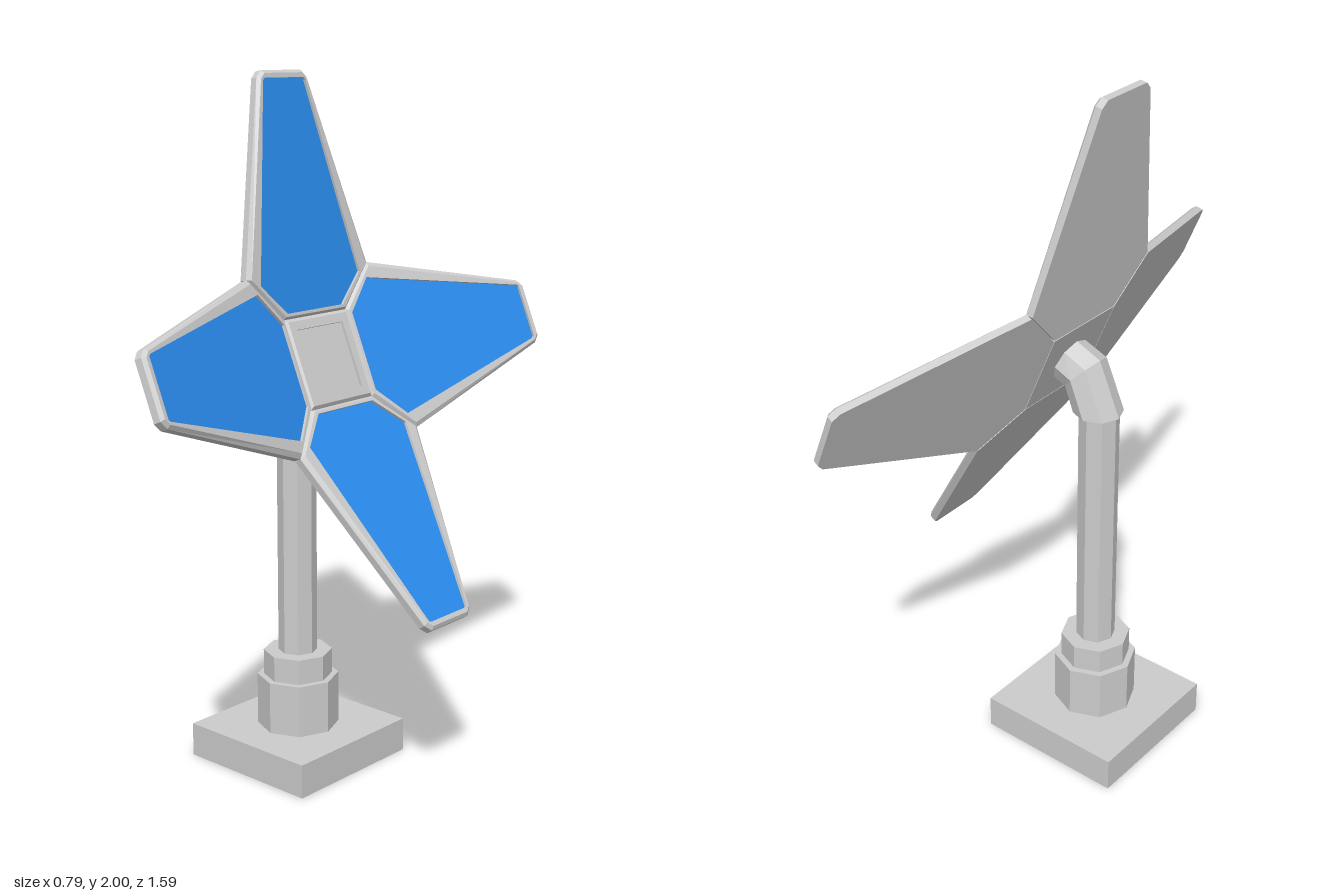
import * as THREE from 'three';

const grey = new THREE.MeshStandardMaterial({ color: 0xcccccc, flatShading: true });
const greyOpen = new THREE.MeshStandardMaterial({ color: 0xcccccc, flatShading: true, side: THREE.DoubleSide });
const blue = new THREE.MeshStandardMaterial({ color: 0x2a8cee, flatShading: true });

function mesh(name, geometry, material = grey) {
  const m = new THREE.Mesh(geometry, material);
  m.name = name;
  return m;
}

// Joins rings of equal point count (counter-clockwise about the direction of travel).
function loft(rings, capStart, capEnd) {
  const pos = [];
  const tri = (...pts) => pts.forEach((p) => pos.push(p.x, p.y, p.z));
  const n = rings[0].length;
  for (let k = 0; k + 1 < rings.length; k++) {
    for (let i = 0; i < n; i++) {
      const j = (i + 1) % n, a = rings[k], b = rings[k + 1];
      tri(a[i], a[j], b[j]);
      tri(a[i], b[j], b[i]);
    }
  }
  const last = rings[rings.length - 1];
  for (let i = 1; i + 1 < n; i++) {
    if (capStart) tri(rings[0][0], rings[0][i + 1], rings[0][i]);
    if (capEnd) tri(last[0], last[i], last[i + 1]);
  }
  const g = new THREE.BufferGeometry();
  g.setAttribute('position', new THREE.Float32BufferAttribute(pos, 3));
  g.computeVertexNormals();
  return g;
}

// Mirrors a right-hand outline to a closed ring at depth z.
function ring(half, z) {
  const right = half.map(([x, y]) => new THREE.Vector3(x, y, z));
  const left = half.map(([x, y]) => new THREE.Vector3(-x, y, z)).reverse();
  return [...right, ...left];
}

// A plate with a chamfered rim and a recessed panel on its front.
function framedPlate(name, outer, rim, inner, panelMaterial) {
  const g = new THREE.Group();
  g.name = name;
  const body = [ring(outer, -0.015), ring(outer, 0.005), ring(rim, 0.014), ring(inner, 0.014), ring(inner, 0.006)];
  g.add(mesh(name + 'Frame', loft(body, true, false)));
  g.add(mesh(name + 'Panel', loft([ring(inner, 0.006)], false, true), panelMaterial));
  return g;
}

const square = (h) => [[h, -h], [h, h]];

// Eight-sided ring centred on (x, y, 0), facing the given angle in the xy plane.
function pipeRing(x, y, radius, angle) {
  return Array.from({ length: 8 }, (_, i) => {
    const t = (i / 8) * Math.PI * 2, c = radius * Math.cos(t);
    return new THREE.Vector3(x - c * Math.sin(angle), y + c * Math.cos(angle), radius * Math.sin(t));
  });
}

export function createModel() {
  const model = new THREE.Group();
  model.name = 'solarPanelFlower';
  const deg = Math.PI / 180;
  const poleX = -0.163;

  // Square base, open underneath
  const box = new THREE.BoxGeometry(0.445, 0.1, 0.445);
  const faces = Array.from(box.index.array);
  faces.splice(18, 6);
  box.setIndex(faces);
  box.clearGroups();
  const base = mesh('base', box, greyOpen);
  base.position.set(poleX, 0.05, 0);
  model.add(base);

  // Eight-sided stand: two collars and the pole
  for (const [name, radius, y0, y1] of [
    ['lowerCollar', 0.12, 0.1, 0.255],
    ['upperCollar', 0.101, 0.255, 0.33],
    ['pole', 0.057, 0.33, 1.09],
  ]) {
    const part = mesh(name, new THREE.CylinderGeometry(radius, radius, y1 - y0, 8));
    part.position.set(poleX, (y0 + y1) / 2, 0);
    model.add(part);
  }

  // Elbow from the pole to the back of the hub
  const tilt = 22.7 * deg;
  model.add(mesh('elbow', loft([
    pipeRing(poleX + 0.003, 1.08, 0.07, 90 * deg),
    pipeRing(-0.115, 1.187, 0.068, 44 * deg),
    pipeRing(-0.059, 1.209, 0.065, tilt),
  ], true, true)));

  // Dish: local +z is the facing direction
  const dish = new THREE.Group();
  dish.name = 'panelHead';
  dish.rotation.order = 'YXZ';
  dish.rotation.set(-tilt, Math.PI / 2 + 0.015, 0);
  dish.position.set(-0.045, 1.215, 0);
  model.add(dish);

  dish.add(framedPlate('hub', square(0.13), square(0.12), square(0.095), grey));

  // Four petals leaning forward around the hub
  const outer = [[0.13, 0], [0.25, 0.123], [0.1, 0.658], [0.08, 0.677]];
  const rim = [[0.124, 0.008], [0.236, 0.121], [0.092, 0.653], [0.076, 0.668]];
  const inner = [[0.115, 0.016], [0.205, 0.102], [0.085, 0.648], [0.08, 0.655]];
  for (let i = 0; i < 4; i++) {
    const spoke = new THREE.Group();
    spoke.name = 'petalMount';
    spoke.rotation.z = (i * Math.PI) / 2;
    const petal = framedPlate('petal', outer, rim, inner, blue);
    petal.position.y = 0.13;
    petal.rotation.x = 12.4 * deg;
    spoke.add(petal);
    dish.add(spoke);
  }
  return model;
}
